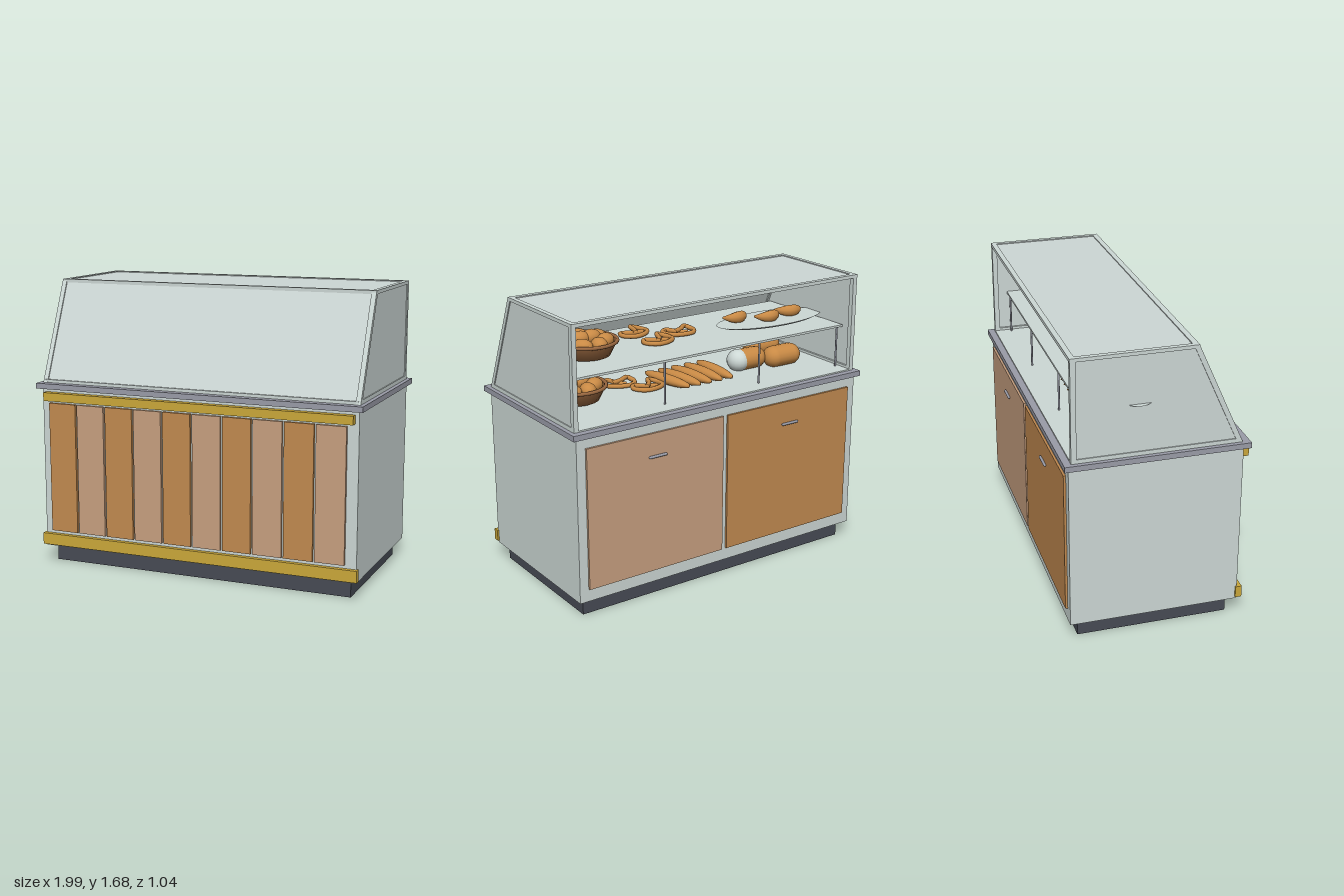
import * as THREE from 'three';

const mat = (name, color, double) => {
  const m = new THREE.MeshStandardMaterial({ color });
  m.name = name;
  if (double) m.side = THREE.DoubleSide;
  return m;
};

export function createModel() {
  const root = new THREE.Group();
  root.name = 'bakeryCounter';
  const panel = mat('palePanel', 0xcdd8d5);
  const glass = mat('glass', 0xcdd7d5, true);
  const steel = mat('steel', 0x9a9ca8);
  const base = mat('charcoal', 0x474b55);
  const brass = mat('brass', 0xcba83a);
  const wood = mat('wood', 0xc28a50);
  const paleWood = mat('paleWood', 0xc8a080);
  const crust = mat('crust', 0xc98a45);
  const wicker = mat('wicker', 0x9a6840, true);

  const add = (name, geo, material, x = 0, y = 0, z = 0, parent = root) => {
    const m = new THREE.Mesh(geo, material);
    m.name = name;
    m.position.set(x, y, z);
    parent.add(m);
    return m;
  };
  // box given by its minimum and maximum on each axis
  const box = (name, material, x0, x1, y0, y1, z0, z1) =>
    add(name, new THREE.BoxGeometry(x1 - x0, y1 - y0, z1 - z0), material,
      (x0 + x1) / 2, (y0 + y1) / 2, (z0 + z1) / 2);

  // cabinet
  box('plinth', base, -0.925, 0.925, 0, 0.1, -0.44, 0.43);
  box('cabinetBody', panel, -0.97, 0.97, 0.1, 1.06, -0.49, 0.48);
  box('countertop', steel, -0.997, 0.997, 1.06, 1.092, -0.515, 0.515);
  box('upperBrassRail', brass, -0.947, 0.947, 0.99, 1.04, 0.48, 0.52);
  box('lowerBrassRail', brass, -0.98, 0.98, 0.112, 0.18, 0.47, 0.507);

  // alternating front slats
  for (let i = 0; i < 10; i++) {
    const x = -0.922 + i * 0.1838;
    box('frontSlat', i % 2 ? paleWood : wood, x, x + 0.172, 0.2, 0.975, 0.48, 0.498);
  }

  // rear doors with handles
  for (const s of [-1, 1]) {
    box('rearDoor', s < 0 ? wood : paleWood, s * 0.465 - 0.45, s * 0.465 + 0.45, 0.175, 1, -0.503, -0.49);
    const handle = add('doorHandle', new THREE.CapsuleGeometry(0.008, 0.105, 4, 10), steel, s * 0.465, 0.865, -0.509);
    handle.rotation.z = Math.PI / 2;
  }

  // display case: floor, roof, slanted front and end panes; the rear stays open
  box('caseFloor', panel, -0.955, 0.955, 1.092, 1.1, -0.475, 0.455);
  box('roofPane', glass, -0.95, 0.95, 1.66, 1.674, -0.46, 0.2);
  const front = new THREE.Shape([[0.452, 1.092], [0.464, 1.092], [0.206, 1.67], [0.194, 1.67]]
    .map(p => new THREE.Vector2(...p)));
  const end = new THREE.Shape([[-0.47, 1.092], [0.462, 1.092], [0.204, 1.67], [-0.47, 1.67]]
    .map(p => new THREE.Vector2(...p)));
  // a (z, y) outline extruded along x
  const across = (name, shape, depth, x0, material) => {
    const g = new THREE.ExtrudeGeometry(shape, { depth, bevelEnabled: false });
    g.rotateY(-Math.PI / 2).scale(1, 1, 1);
    return add(name, g, material, x0 + depth, 0, 0);
  };
  across('frontPane', front, 1.92, -0.96, glass);
  across('endPane', end, 0.008, 0.958, glass);
  across('endPane', end, 0.008, -0.966, glass);

  // case frame
  const slant = new THREE.Shape([[0.442, 1.092], [0.472, 1.092], [0.214, 1.67], [0.184, 1.67]]
    .map(p => new THREE.Vector2(...p)));
  for (const s of [-1, 1]) {
    const a = s < 0 ? -0.972 : 0.944;
    across('slantedPost', slant, 0.028, a, panel);
    box('rearPost', panel, a, a + 0.028, 1.092, 1.67, -0.475, -0.445);
    box('endBottomRail', panel, a, a + 0.028, 1.092, 1.115, -0.46, 0.45);
    box('endTopRail', panel, a, a + 0.028, 1.66, 1.68, -0.475, 0.21);
  }
  box('frontTopRail', panel, -0.972, 0.972, 1.66, 1.68, 0.18, 0.212);
  box('rearTopRail', panel, -0.972, 0.972, 1.66, 1.68, -0.477, -0.447);
  box('frontBottomRail', panel, -0.96, 0.96, 1.092, 1.11, 0.435, 0.468);
  box('roofStrip', wood, -0.94, 0.94, 1.645, 1.66, -0.38, -0.34);

  // shelf on slim posts
  box('shelf', panel, -0.95, 0.95, 1.345, 1.358, -0.39, 0.3);
  for (const x of [-0.92, -0.33, 0.33, 0.92]) for (const z of [-0.375, 0.28])
    add('shelfPost', new THREE.CylinderGeometry(0.006, 0.006, 0.25, 10), steel, x, 1.222, z);

  // baskets of rolls
  const basket = (x, y, z) => {
    const g = new THREE.Group();
    g.name = 'breadBasket';
    g.position.set(x, y, z);
    root.add(g);
    const profile = [[0, 0.004], [0.14, 0.004], [0.18, 0.085], [0.17, 0.085], [0.135, 0.02]]
      .map(p => new THREE.Vector2(...p));
    add('basketBowl', new THREE.LatheGeometry(profile, 32), wicker, 0, 0, 0, g);
    add('basketRim', new THREE.TorusGeometry(0.178, 0.011, 8, 36), wicker, 0, 0.085, 0, g).rotation.x = Math.PI / 2;
    for (let i = 0; i < 9; i++) {
      const r = i < 7 ? 0.11 : 0.035, a = i < 7 ? i * Math.PI * 2 / 7 : i * Math.PI;
      const roll = add('roll', new THREE.SphereGeometry(0.055, 16, 10), crust,
        Math.cos(a) * r, i < 7 ? 0.08 : 0.1, Math.sin(a) * r, g);
      roll.scale.set(1.1, 0.75, 0.85);
      roll.rotation.y = a;
    }
  };
  basket(0.64, 1.358, -0.05);
  basket(0.7, 1.1, -0.02);

  // pretzels: one rope looped and crossed
  const knot = new THREE.CatmullRomCurve3([
    [-0.045, -0.04], [0.01, 0.0], [0.06, 0.055], [0.095, 0.015], [0.07, -0.05], [0, -0.07],
    [-0.07, -0.05], [-0.095, 0.015], [-0.06, 0.055], [-0.01, 0.0], [0.045, -0.04],
  ].map(([x, z], i) => new THREE.Vector3(x, i > 7 ? 0.012 : 0, z)));
  const pretzelGeo = new THREE.TubeGeometry(knot, 60, 0.014, 8);
  [[0.17, 1.372, -0.07, 0.3], [-0.03, 1.372, 0.01, -0.2], [0.2, 1.372, 0.14, 0.5], [0.25, 1.114, -0.08, 0.2],
    [0.36, 1.114, 0.06, -0.4]].forEach(([x, y, z, a]) => {
    add('pretzel', pretzelGeo, crust, x, y, z).rotation.y = a;
  });

  // baguettes fanned on the case floor
  for (let i = 0; i < 5; i++) {
    const b = add('baguette', new THREE.SphereGeometry(1, 16, 14), crust, 0.12 - i * 0.085, 1.13, -0.09);
    b.scale.set(0.036, 0.03, 0.19);
    b.rotation.y = 0.16 - i * 0.05;
  }

  // loaves, the first with a pale cut end
  [[-0.46, -0.09], [-0.68, -0.15], [-0.72, 0.1]].forEach(([x, z], i) => {
    const loaf = add('loaf', new THREE.CapsuleGeometry(0.065, 0.12, 8, 18), crust, x, 1.155, z);
    loaf.rotation.z = Math.PI / 2;
    loaf.scale.z = 1.1;
    if (i === 0) {
      const cut = add('loafCutEnd', new THREE.SphereGeometry(0.067, 18, 12), panel, x + 0.065, 1.155, z);
      cut.scale.z = 1.1;
    }
  });

  // oval platter of croissants
  const platter = add('platter', new THREE.CylinderGeometry(1, 0.9, 0.012, 48), panel, -0.617, 1.38, -0.105);
  platter.scale.set(0.38, 1, 0.16);
  add('platterFoot', new THREE.CylinderGeometry(1, 1, 0.016, 36), panel, -0.617, 1.366, -0.105).scale.set(0.2, 1, 0.09);
  const arc = new THREE.CatmullRomCurve3([[-0.085, 0.03], [-0.05, -0.01], [0, -0.025], [0.05, -0.01], [0.085, 0.03]]
    .map(([x, z]) => new THREE.Vector3(x, 0, z)));
  const croissantGeo = new THREE.TubeGeometry(arc, 24, 0.035, 10);
  const p = croissantGeo.attributes.position, c = new THREE.Vector3();
  // taper towards the tips
  for (let i = 0; i < p.count; i++) {
    const t = Math.floor(i / 11) / 24, k = 0.15 + 0.85 * Math.sin(Math.PI * t);
    arc.getPointAt(t, c);
    p.setXYZ(i, c.x + (p.getX(i) - c.x) * k, p.getY(i) * k, c.z + (p.getZ(i) - c.z) * k);
  }
  croissantGeo.computeVertexNormals();
  [[-0.41, -0.04, 0.2], [-0.585, -0.13, 0.1], [-0.77, -0.1, -0.2]].forEach(([x, z, a]) => {
    add('croissant', croissantGeo, crust, x, 1.415, z).rotation.y = a;
  });

  return root;
}
